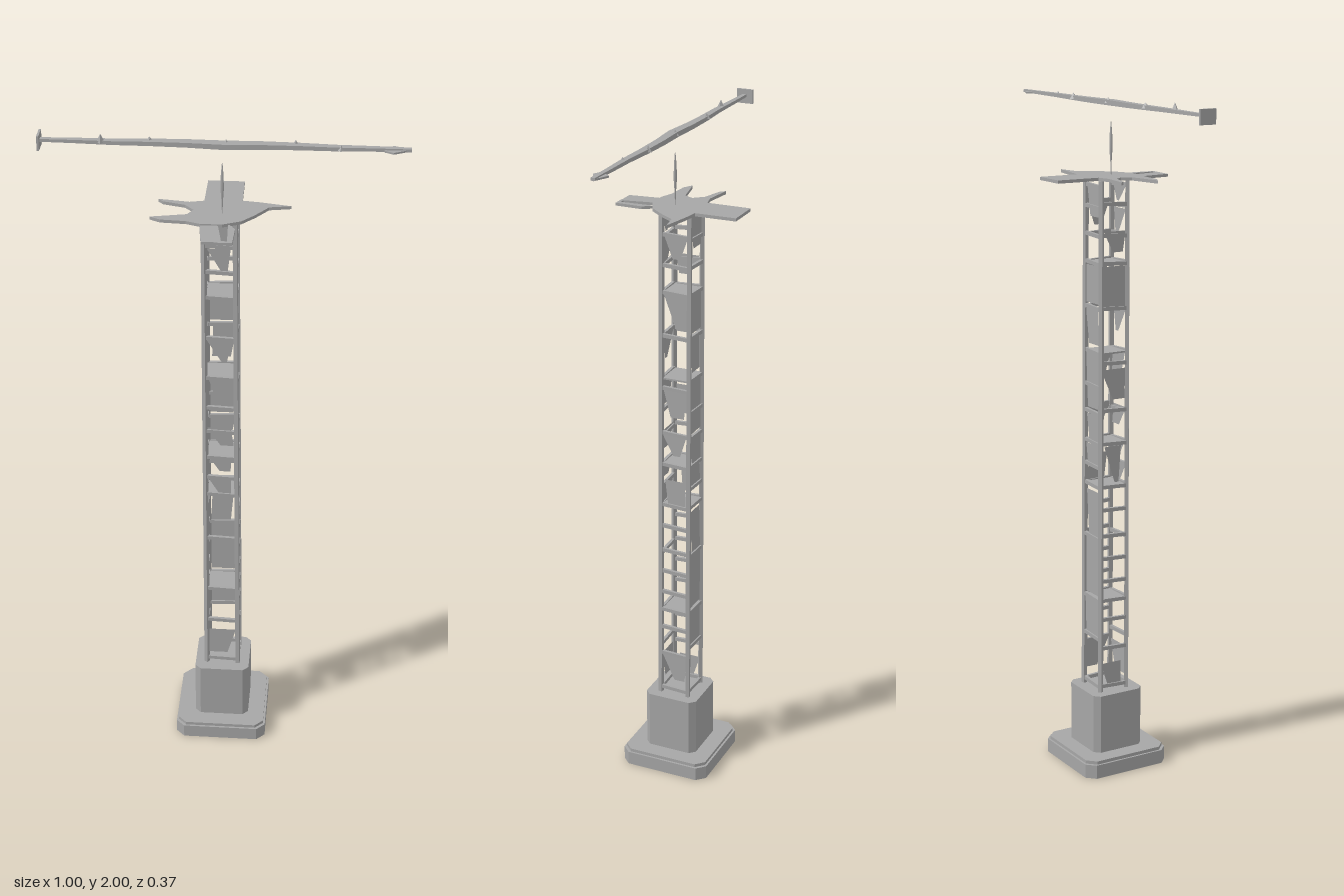
import * as THREE from 'three';

export function createModel() {
  const model = new THREE.Group();
  const concrete = new THREE.MeshStandardMaterial({ color: 0xa6a6a6, side: THREE.DoubleSide });
  concrete.name = 'plain grey';

  const add = (name, geometry, parent = model) => {
    const mesh = new THREE.Mesh(geometry, concrete);
    mesh.name = name;
    parent.add(mesh);
    return mesh;
  };
  const group = (name) => {
    const g = new THREE.Group();
    g.name = name;
    model.add(g);
    return g;
  };

  // Square bar from a to b
  const bar = (name, a, b, w, h, parent) => {
    const mesh = add(name, new THREE.BoxGeometry(w, h, a.distanceTo(b)), parent);
    mesh.position.copy(a).lerp(b, 0.5);
    mesh.lookAt(b);
  };

  // Flat outline in x and z, extruded down from height top
  const slab = (name, shape, top, depth, parent) => {
    const g = new THREE.ExtrudeGeometry(shape, { depth, bevelEnabled: false });
    g.rotateX(Math.PI / 2).translate(0, top, 0);
    add(name, g, parent);
  };
  const vectors = (pts) => pts.map(([x, z]) => new THREE.Vector2(x, z));
  const outline = (pts) => new THREE.Shape(vectors(pts));
  const octagon = (r, c) => [[r, r - c], [r - c, r], [c - r, r], [-r, r - c],
    [-r, c - r], [c - r, -r], [r - c, -r], [r, c - r]];

  // Hollow foot, its cover and the plinth
  const base = group('base');
  base.position.x = -0.003;
  const foot = outline(octagon(0.139, 0.025));
  foot.holes.push(new THREE.Path(vectors(octagon(0.108, 0.02))));
  slab('footRim', foot, 0.042, 0.042, base);
  slab('footCover', outline(octagon(0.133, 0.025)), 0.052, 0.012, base);
  slab('plinth', outline(octagon(0.083, 0.017)), 0.232, 0.2, base);

  // Four slightly leaning posts, numbered round the tower
  const tower = group('latticeTower');
  const bottom = 0.225, top = 1.765;
  const corner = (i, y) => {
    const t = (y - bottom) / (top - bottom);
    const right = i % 4 === 1 || i % 4 === 2, front = i % 4 < 2;
    return new THREE.Vector3(right ? 0.045 - 0.013 * t : -0.051 - 0.003 * t, y,
      front ? 0.043 - 0.002 * t : -0.047 + 0.002 * t);
  };

  // Rungs for front and back, then for the sides
  const rungs = [
    [0.25, 0.4, 0.52, 0.71, 0.87, 0.93, 1.0, 1.09, 1.17, 1.27, 1.4, 1.53, 1.61, 1.69, 1.75],
    [0.25, 0.37, 0.46, 0.52, 0.58, 0.65, 0.72, 0.8, 0.87, 1.0, 1.1, 1.24, 1.4, 1.53, 1.61, 1.7],
  ];
  for (let i = 0; i < 4; i++) {
    bar('post', corner(i, bottom), corner(i, top), 0.012, 0.012, tower);
    for (const y of rungs[i % 2]) {
      bar('rung', corner(i, y), corner(i + 1, y - 0.004), 0.009, 0.011, tower);
    }
  }

  // Ragged infill plates: bottom and top heights for front, right, back and left
  let seed = 7;
  const random = () => {
    seed = (seed * 16807) % 2147483647;
    return seed / 2147483647;
  };
  const bays = [
    [[0.27, 0.36], [0.87, 0.93], [0.95, 1.0], [1.04, 1.1], [1.18, 1.27], [1.32, 1.4], [1.61, 1.68], [1.7, 1.75]],
    [[0.28, 0.37], [0.87, 0.95], [1.03, 1.1], [1.15, 1.24], [1.42, 1.53], [1.63, 1.7]],
    [[0.4, 0.52], [0.53, 0.71], [0.71, 0.85], [0.93, 0.99], [1.0, 1.08], [1.1, 1.27], [1.29, 1.4], [1.41, 1.52], [1.66, 1.75]],
    [[0.25, 0.32], [0.88, 0.99], [1.13, 1.22], [1.4, 1.52], [1.56, 1.62]],
  ];
  bays.forEach((list, face) => {
    for (const [low, high] of list) {
      const at = (u, y) => corner(face, y).lerp(corner(face + 1, y), u);
      const cut = face === 2 ? 0.3 : 0.6;
      const a = at(random() * cut, low), b = at(1 - random() * cut * 0.6, low);
      const c = at(random() * 0.15, high), d = at(1 - random() * 0.25, high);
      const g = new THREE.BufferGeometry().setFromPoints([a, b, d, a, d, c]);
      g.computeVertexNormals();
      add('infillPlate', g, tower);
    }
  });

  // Inner decks
  for (const y of [0.52, 0.87, 1.0, 1.27, 1.53]) {
    const ring = [0, 1, 2, 3].map((i) => corner(i, y));
    slab('deck', outline(ring.map((p) => [p.x, p.z])), y, 0.005, tower);
  }

  // Star-shaped platform with a split front arm
  const platform = group('platform');
  slab('platformTop', outline([[-0.06, -0.188], [0.043, -0.188], [0.045, -0.066], [0.09, -0.06],
    [0.18, -0.042], [0.12, -0.03], [0.085, 0.02], [0.05, 0.06], [0, 0.083], [-0.06, 0.084],
    [-0.1, 0.07], [-0.17, 0.066], [-0.2, 0.05], [-0.1, 0.028], [-0.085, 0], [-0.11, -0.028],
    [-0.172, -0.045], [-0.187, -0.06], [-0.1, -0.048], [-0.06, -0.058]]), 1.776, 0.009, platform);
  slab('frontArm', outline([[-0.062, 0.08], [-0.012, 0.08], [0.005, 0.18], [-0.05, 0.18]]), 1.772, 0.008, platform);
  slab('frontStrip', outline([[0.015, 0.07], [0.036, 0.1], [0.034, 0.182], [0.02, 0.182]]), 1.772, 0.008, platform);
  bar('frontCrossbar', new THREE.Vector3(-0.005, 1.768, 0.177), new THREE.Vector3(0.034, 1.768, 0.177), 0.01, 0.008, platform);

  // Slim spindle mast
  const profile = vectors([[0.001, 1.776], [0.002, 1.81], [0.005, 1.85], [0.004, 1.89], [0.001, 1.925]]);
  const mast = add('mast', new THREE.LatheGeometry(profile, 5));
  mast.position.set(-0.005, 0, 0.016);

  // Boom: a long box whose depth and line vary along its length
  const boom = group('boom');
  const beam = new THREE.BoxGeometry(0.995, 1, 1, 10, 1, 1);
  const p = beam.attributes.position;
  for (let i = 0; i < p.count; i++) {
    const x = p.getX(i), middle = 1 - Math.abs(x) * 2;
    const sway = 0.004 * Math.cos(x * 20);
    p.setY(i, 1.978 + 0.004 * x + p.getY(i) * (0.008 + 0.007 * middle));
    p.setZ(i, 0.015 + sway * middle + p.getZ(i) * (0.012 + 0.016 * middle));
  }
  beam.computeVertexNormals();
  add('boomBeam', beam, boom);

  // Boom tip, end plate and small fins
  slab('boomTip', outline([[0.425, 0.026], [0.45, -0.008], [0.498, 0.014], [0.45, 0.038]]), 1.98, 0.005, boom);
  const end = add('boomEndPlate', new THREE.BoxGeometry(0.006, 0.042, 0.05), boom);
  end.position.set(-0.497, 1.974, 0.014);
  for (const [x, z, h] of [[-0.33, 0.02, 0.024], [-0.2, 0.008, 0.016], [0.005, 0.012, 0.016], [0.19, 0.006, 0.018], [0.31, 0.022, 0.014]]) {
    const fin = add('boomFin', new THREE.ConeGeometry(0.012, h, 4).toNonIndexed(), boom);
    fin.geometry.computeVertexNormals();
    fin.position.set(x, 1.976 + h / 2, z);
  }
  return model;
}
